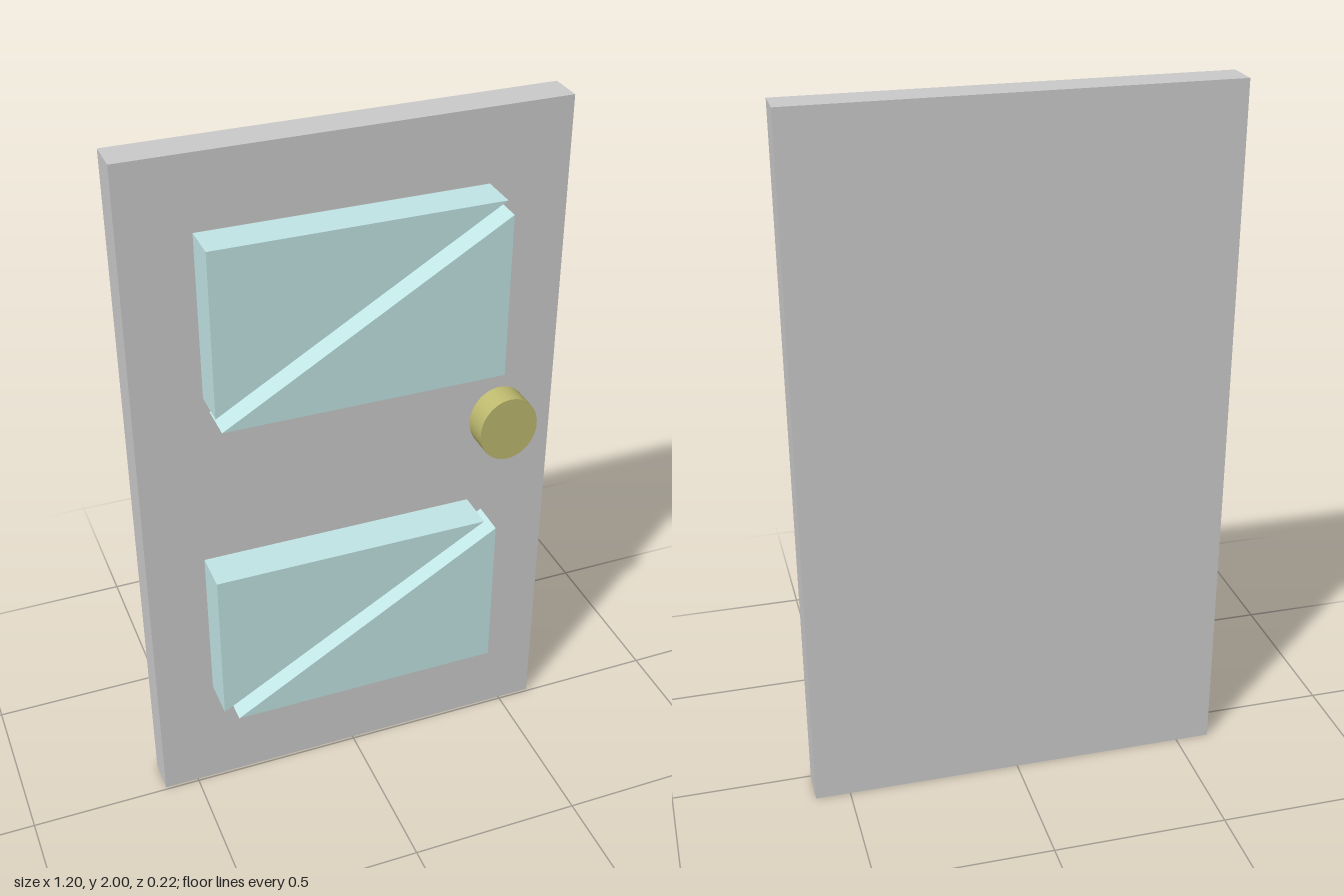
import * as THREE from 'three';

const FACE = -0.008; // z of the slab's front face

export function createModel() {
  const door = new THREE.Group();
  door.name = 'door';

  const add = (name, geometry, color) => {
    const mesh = new THREE.Mesh(geometry, new THREE.MeshStandardMaterial({ color }));
    mesh.name = name;
    door.add(mesh);
    return mesh;
  };

  // Door slab
  add('slab', new THREE.BoxGeometry(1.2, 2, 0.1), 0xcccccc).position.set(0, 1, FACE - 0.05);

  // Raised triangular panels, in pairs split by a diagonal gap: name, corners, front z
  const panels = [
    ['upperPanelOuter', [[-0.41, 1.795], [-0.41, 1.33], [0.375, 1.795]], 0.1],
    ['upperPanelInner', [[-0.395, 1.285], [0.395, 1.285], [0.395, 1.752]], 0.1],
    ['lowerPanelOuter', [[-0.435, 0.815], [-0.435, 0.352], [0.355, 0.815]], 0.108],
    ['lowerPanelInner', [[-0.39, 0.3], [0.4, 0.3], [0.4, 0.77]], 0.095],
  ];
  for (const [name, corners, front] of panels) {
    const shape = new THREE.Shape(corners.map(([x, y]) => new THREE.Vector2(x, y)));
    const geometry = new THREE.ExtrudeGeometry(shape, { depth: front - FACE, bevelEnabled: false });
    add(name, geometry, 0xc2e6e6).position.z = FACE;
  }

  // Slightly oval knob
  const knobDepth = 0.065 - FACE;
  const knob = new THREE.CylinderGeometry(1, 1, knobDepth, 48);
  knob.rotateX(Math.PI / 2).scale(0.086, 0.097, 1);
  add('knob', knob, 0xbfbb70).position.set(0.437, 1.08, FACE + knobDepth / 2);

  return door;
}
